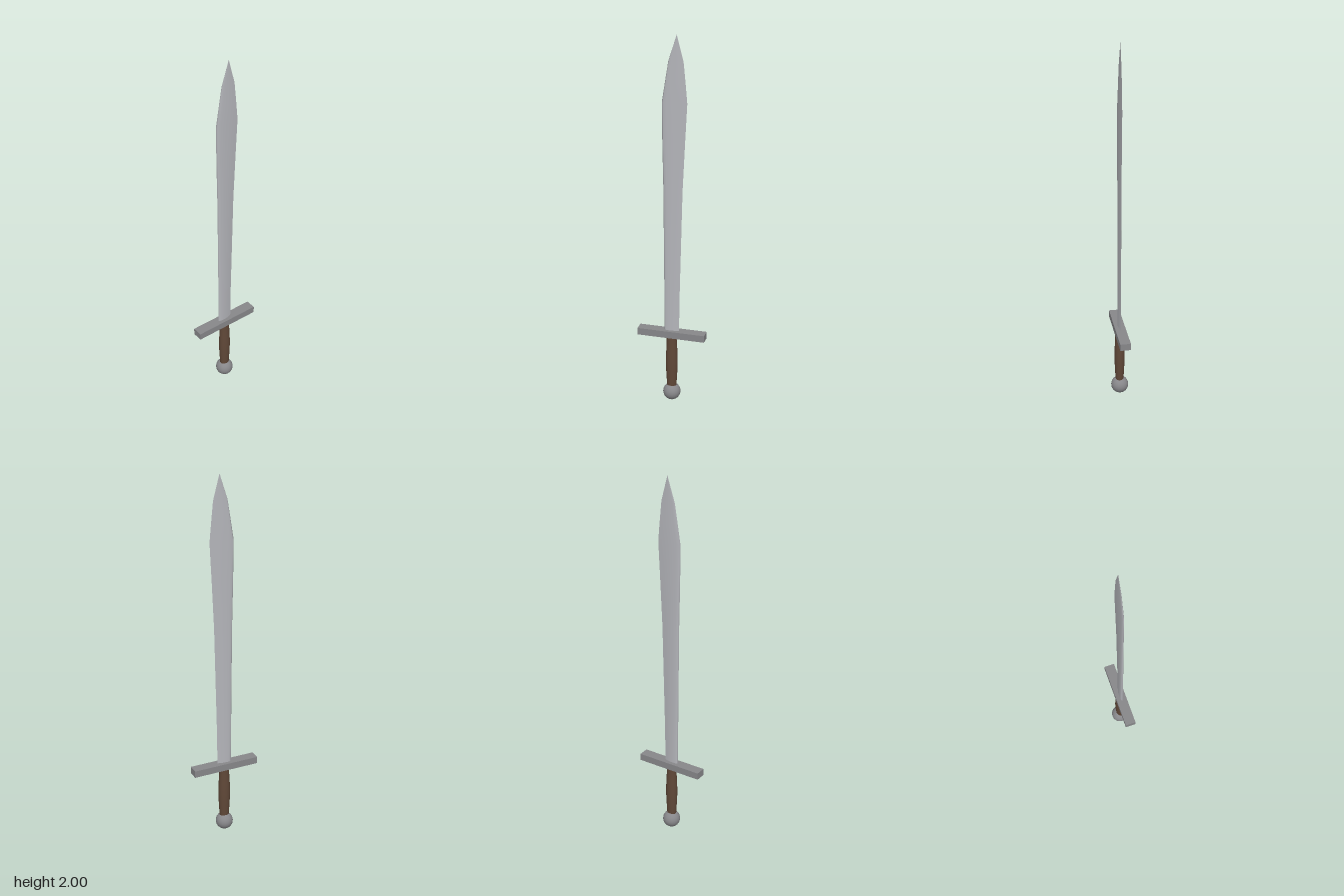
import * as THREE from 'three';

const mat = (name, color) => {
  const m = new THREE.MeshStandardMaterial({ color });
  m.name = name;
  return m;
};

// Single-edged blade: rounded spine on -x, sharp edge on +x, lofted upward
function bladeGeometry() {
  // each section: height, spine x, edge x, half thickness
  const sections = [
    [0.40, -0.040, 0.040, 0.0085],
    [0.62, -0.041, 0.043, 0.0080],
    [1.20, -0.045, 0.057, 0.0075],
    [1.45, -0.050, 0.069, 0.0070],
    [1.66, -0.052, 0.080, 0.0065],
    [1.76, -0.036, 0.071, 0.0045],
    [1.87, -0.018, 0.060, 0.0030],
    [2.00, 0.0245, 0.0255, 0.0003],
  ];
  // half outline from edge to spine: fraction of width, fraction of thickness
  const half = [[1, 0], [0.85, 0.35], [0.65, 0.8], [0.4, 1], [0.18, 0.95], [0.05, 0.6]];
  const outline = [
    ...half,
    [0, 0],
    ...half.slice().reverse().map(([u, t]) => [u, -t]),
  ];
  const n = outline.length;
  const positions = [];
  const index = [];
  for (const [y, spine, edge, t] of sections) {
    for (const [u, w] of outline) positions.push(spine + (edge - spine) * u, y, w * t);
  }
  for (let s = 0; s < sections.length - 1; s++) {
    for (let i = 0; i < n - 1; i++) {
      const a = s * n + i, b = a + 1, c = a + n, d = c + 1;
      index.push(a, c, b, b, c, d);
    }
  }
  // close the tip
  const top = (sections.length - 1) * n;
  for (let i = 1; i < n - 2; i++) index.push(top, top + i + 1, top + i);
  const g = new THREE.BufferGeometry();
  g.setAttribute('position', new THREE.Float32BufferAttribute(positions, 3));
  g.setIndex(index);
  g.computeVertexNormals();
  return g;
}

export function createModel() {
  const model = new THREE.Group();
  model.name = 'sword';
  const bladeSteel = mat('bladeSteel', 0xb4b5ba);
  const darkSteel = mat('darkSteel', 0x87878a);
  const leather = mat('leather', 0x604838);
  bladeSteel.side = THREE.DoubleSide;

  const add = (name, geometry, material, y = 0, z = 0) => {
    const mesh = new THREE.Mesh(geometry, material);
    mesh.name = name;
    mesh.position.set(0, y, z);
    model.add(mesh);
    return mesh;
  };

  add('blade', bladeGeometry(), bladeSteel);

  add('crossguard', new THREE.BoxGeometry(0.37, 0.038, 0.057), darkSteel, 0.396, -0.001);

  // Oval grip, slightly swollen in the middle
  const profile = [[0.026, 0.085], [0.028, 0.12], [0.0315, 0.18], [0.0325, 0.23], [0.031, 0.29], [0.028, 0.34], [0.028, 0.38]];
  const grip = add('grip', new THREE.LatheGeometry(profile.map(([r, y]) => new THREE.Vector2(r, y)), 16), leather);
  grip.scale.z = 0.85;

  add('pommel', new THREE.SphereGeometry(0.0475, 20, 14), darkSteel, 0.0475 + 0.003, -0.001);

  // Rest the pommel on the ground
  model.children.at(-1).position.y = 0.0485;
  return model;
}
